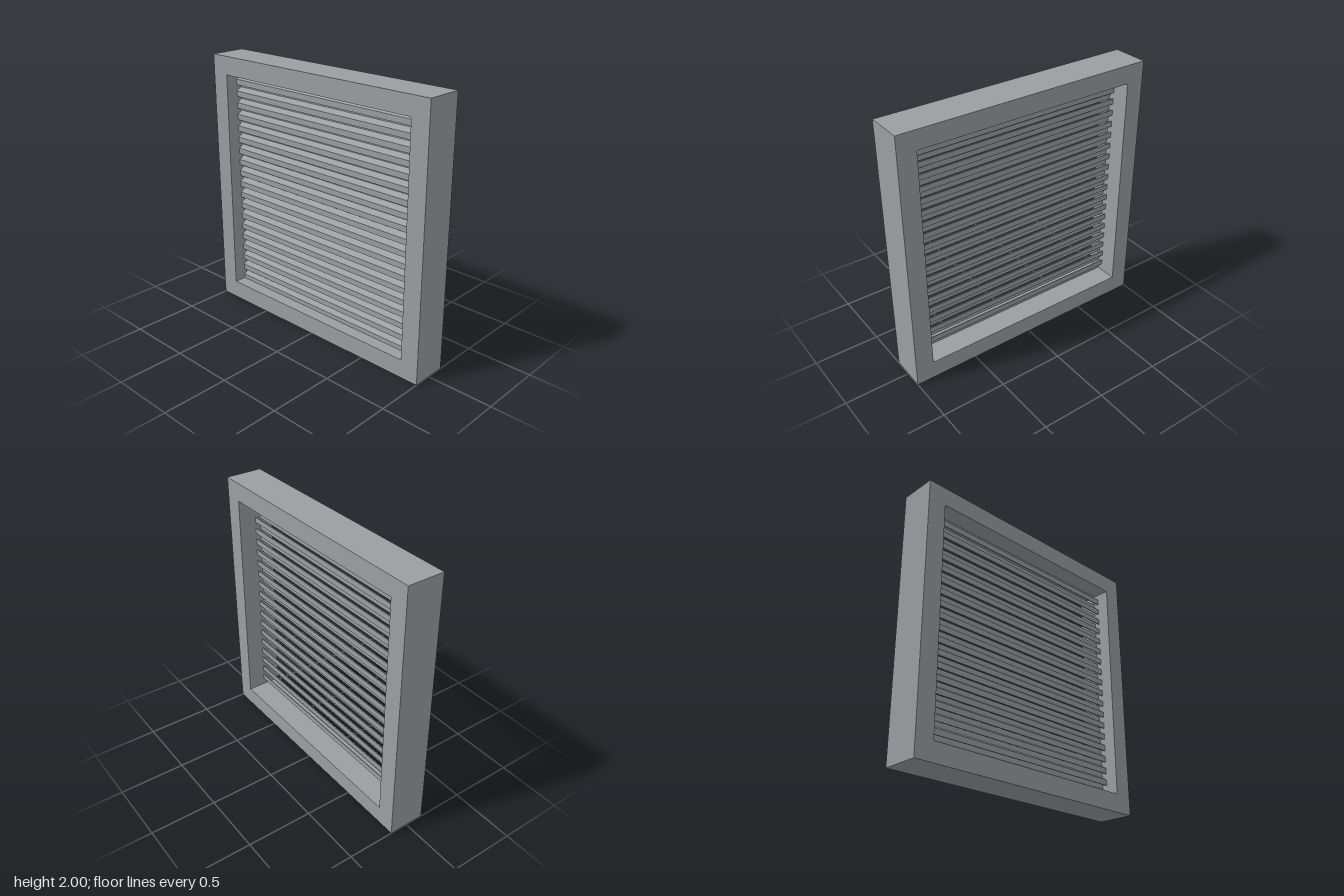
import * as THREE from 'three';

const material = new THREE.MeshStandardMaterial({ color: 0x9b9fa1 });

const HALF = 0.86;      // half the size of the square opening
const DEPTH = 0.28;     // frame depth
const PITCH = 0.0911;   // vertical distance between blades
const BLADES = 19;

// Square frame with a square opening
function makeFrame() {
  const shape = new THREE.Shape([
    new THREE.Vector2(-1, 0), new THREE.Vector2(1, 0),
    new THREE.Vector2(1, 2), new THREE.Vector2(-1, 2),
  ]);
  shape.holes.push(new THREE.Path([
    new THREE.Vector2(-HALF, 1 - HALF), new THREE.Vector2(-HALF, 1 + HALF),
    new THREE.Vector2(HALF, 1 + HALF), new THREE.Vector2(HALF, 1 - HALF),
  ]));
  const geometry = new THREE.ExtrudeGeometry(shape, { depth: DEPTH, bevelEnabled: false });
  geometry.translate(0, 0, -DEPTH / 2);
  const frame = new THREE.Mesh(geometry, material);
  frame.name = 'frame';
  return frame;
}

// Z-shaped blade: rear upright lip, shallow slope, tall front lip (points are z, y)
function makeBladeGeometry() {
  const profile = [
    [-0.003, 0.037], [-0.003, -0.005], [0.037, -0.031], [0.037, -0.069],
    [0.045, -0.069], [0.045, -0.026], [0.005, 0], [0.005, 0.037],
  ].map(([z, y]) => new THREE.Vector2(z, y));
  const geometry = new THREE.ExtrudeGeometry(new THREE.Shape(profile), {
    depth: 2 * HALF, bevelEnabled: false,
  });
  geometry.rotateY(-Math.PI / 2);
  geometry.translate(HALF, 0, 0);
  return geometry;
}

export function createModel() {
  const model = new THREE.Group();
  model.name = 'louvredVent';
  model.add(makeFrame());

  // Stack of overlapping blades; the end ones run into the frame
  const blades = new THREE.Group();
  blades.name = 'blades';
  const geometry = makeBladeGeometry();
  for (let i = 0; i < BLADES; i++) {
    const blade = new THREE.Mesh(geometry, material);
    blade.name = 'blade';
    blade.position.y = 0.2 + i * PITCH;
    blades.add(blade);
  }
  model.add(blades);
  return model;
}
